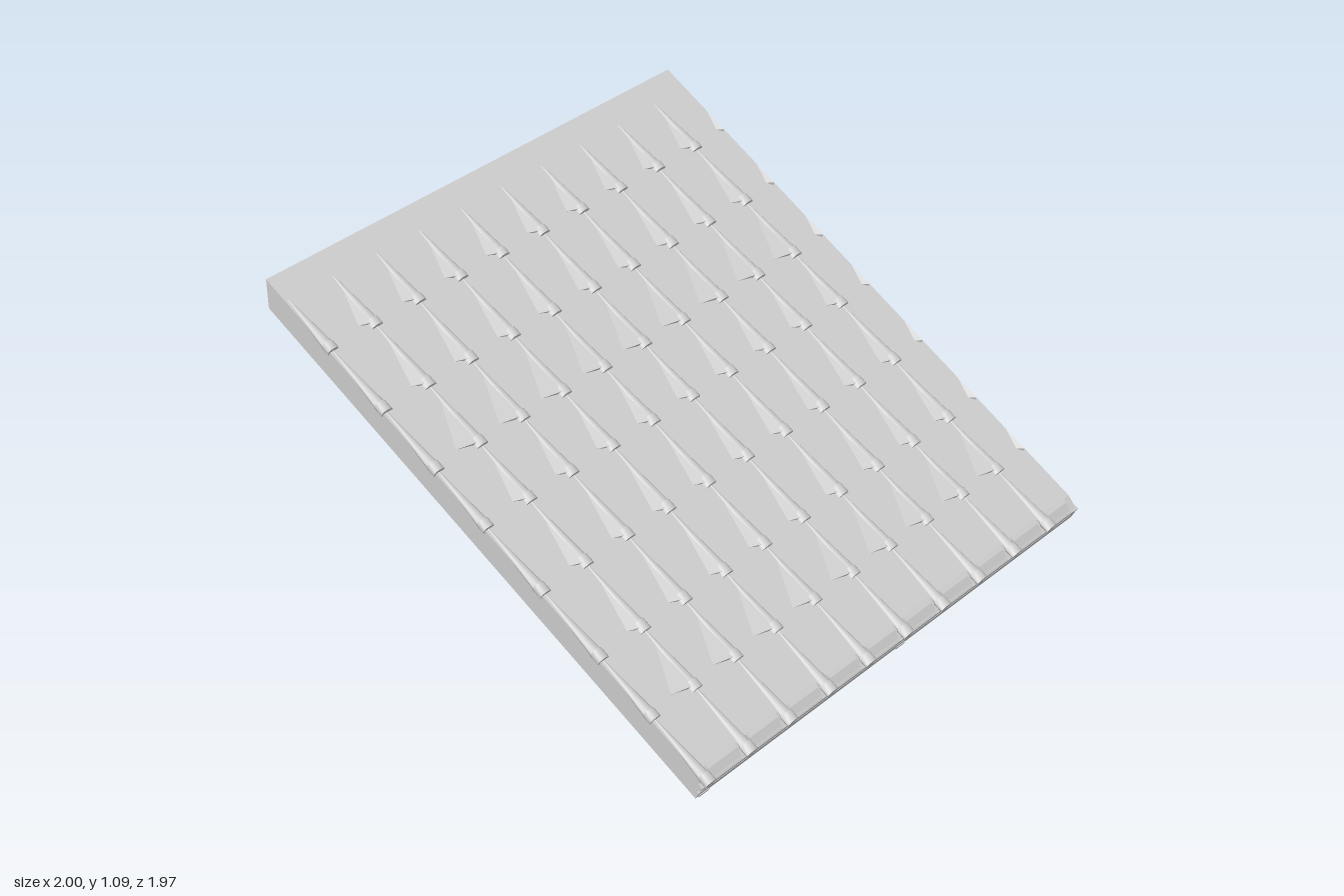
import * as THREE from 'three';
import { mergeVertices } from 'three/addons/utils/BufferGeometryUtils.js';

const grey = new THREE.MeshStandardMaterial({ color: 0xcccccc });
const faceted = new THREE.MeshStandardMaterial({ color: 0xcccccc, flatShading: true, side: THREE.DoubleSide });
const Z_FRONT = 0.978, Z_BACK = -0.955, Z_LIMIT = 0.985;
const COS = 2 / Math.sqrt(5); // pitch of one in two

// Distance down the slope for a given x
const along = (x) => (x + 1) / COS - 0.008;

// Profile in slope coordinates, extruded between two z values
function prism(name, points, z0, z1) {
  const shape = new THREE.Shape(points.map(([u, v]) => new THREE.Vector2(u, v)));
  const geo = new THREE.ExtrudeGeometry(shape, { depth: z1 - z0, bevelEnabled: false });
  geo.translate(0, 0, z0);
  const mesh = new THREE.Mesh(geo, grey);
  mesh.name = name;
  return mesh;
}

// Tapered round ridge with a collar at its lower end
function ridgeGeometry(u0, u1, z) {
  const stations = [[0, 0.004, 0.002], [0.85, 0.021, 0.014], [0.87, 0.025, 0.018], [1, 0.025, 0.018]];
  const geo = new THREE.CylinderGeometry(1, 1, 1, 12, 3);
  geo.rotateZ(-Math.PI / 2);
  const p = geo.attributes.position;
  for (let i = 0; i < p.count; i++) {
    const [t, halfWidth, height] = stations[Math.round((p.getX(i) + 0.5) * 3)];
    const y = p.getY(i) * height;
    p.setXYZ(i, u0 + (u1 - u0) * t, y, Math.min(z + p.getZ(i) * halfWidth, Z_LIMIT));
  }
  geo.computeVertexNormals();
  return geo;
}

// Pointed flap beside the ridge, sloping down to the sheet
function flapGeometry(u0, u1, z, width) {
  const tip = [u0, 0.001, z], inner = [u1, 0.014, z + 0.012];
  const outer = [u1 - 0.02, 0.001, z + width], foot = [u1, 0, z + 0.012];
  const geo = new THREE.BufferGeometry();
  const corners = [tip, outer, inner, inner, outer, foot].flat();
  geo.setAttribute('position', new THREE.Float32BufferAttribute(corners, 3));
  geo.computeVertexNormals();
  return mergeVertices(geo);
}

export function createModel() {
  const model = new THREE.Group();
  model.name = 'roofPanel';
  const slope = new THREE.Group();
  slope.name = 'slopedRoof';
  slope.position.set(-1, 1.09, 0);
  slope.rotation.z = -Math.atan(0.5);
  model.add(slope);

  // Main slab: plumb cut at the top, square grooved eave at the bottom
  slope.add(prism('roofSlab', [
    [0, 0], [0.051, -0.103], [2.22, -0.103], [2.22, -0.069], [2.208, -0.069],
    [2.208, -0.06], [2.22, -0.06], [2.22, -0.038], [2.2, -0.034], [2.2, -0.024],
    [2.217, -0.018], [2.17, 0],
  ], Z_BACK, Z_FRONT));

  // Side board along the back edge, with a shallow channel
  slope.add(prism('sideBoard', [[0.022, -0.045], [0.051, -0.103], [2.22, -0.103], [2.22, -0.045]], -0.975, Z_BACK));
  slope.add(prism('sideBoardUpperLip', [[0.022, -0.045], [0.03, -0.06], [2.22, -0.06], [2.22, -0.045]], -Z_LIMIT, -0.975));
  slope.add(prism('sideBoardLowerLip', [[0.034, -0.068], [0.051, -0.103], [2.22, -0.103], [2.22, -0.068]], -Z_LIMIT, -0.975));

  // Small blocks on the eave at the front end and the middle
  for (const z of [0.92, -0.05]) {
    slope.add(prism('eaveBlock', [[2.2, -0.105], [2.223, -0.105], [2.223, -0.09], [2.2, -0.09]], z, z + 0.045));
  }

  // Lines of overlapping ridges with a flap on each
  const ends = [-0.9, -0.69, -0.44, -0.2, 0.025, 0.28, 0.535, 0.76, 1.0];
  const rows = [0.965];
  for (let i = 0; i < 9; i++) rows.push(0.77 - i * 0.195);
  rows.push(-0.955);
  rows.forEach((z, r) => {
    const line = new THREE.Group();
    line.name = 'ridgeLine';
    for (let c = 0; c < 8; c++) {
      const u0 = along(ends[c]), u1 = along(ends[c + 1]);
      if (r < 10) {
        const ridge = new THREE.Mesh(ridgeGeometry(u0, u1, z), grey);
        ridge.name = 'ridge';
        line.add(ridge);
      }
      if (r > 0 && c < 7) {
        const wide = c === 2 || c === 6;
        const width = r === 10 ? 0.03 : wide ? 0.088 : 0.055;
        const start = r === 10 ? u1 - 0.12 : u0 + 0.04;
        const flap = new THREE.Mesh(flapGeometry(start, u1 - 0.015, z, width), faceted);
        flap.name = 'ridgeFlap';
        line.add(flap);
      }
    }
    slope.add(line);
  });

  // Turned-down lips between the ridges along the eave
  for (let i = 0; i < 10; i++) {
    const zTop = rows[i] - 0.03, zLow = Math.max(rows[i + 1] + 0.03, Z_BACK);
    slope.add(prism('eaveLip', [[2.165, 0.002], [2.165, -0.01], [2.205, -0.028], [2.222, -0.022], [2.185, 0]], zLow, zTop));
  }
  return model;
}
